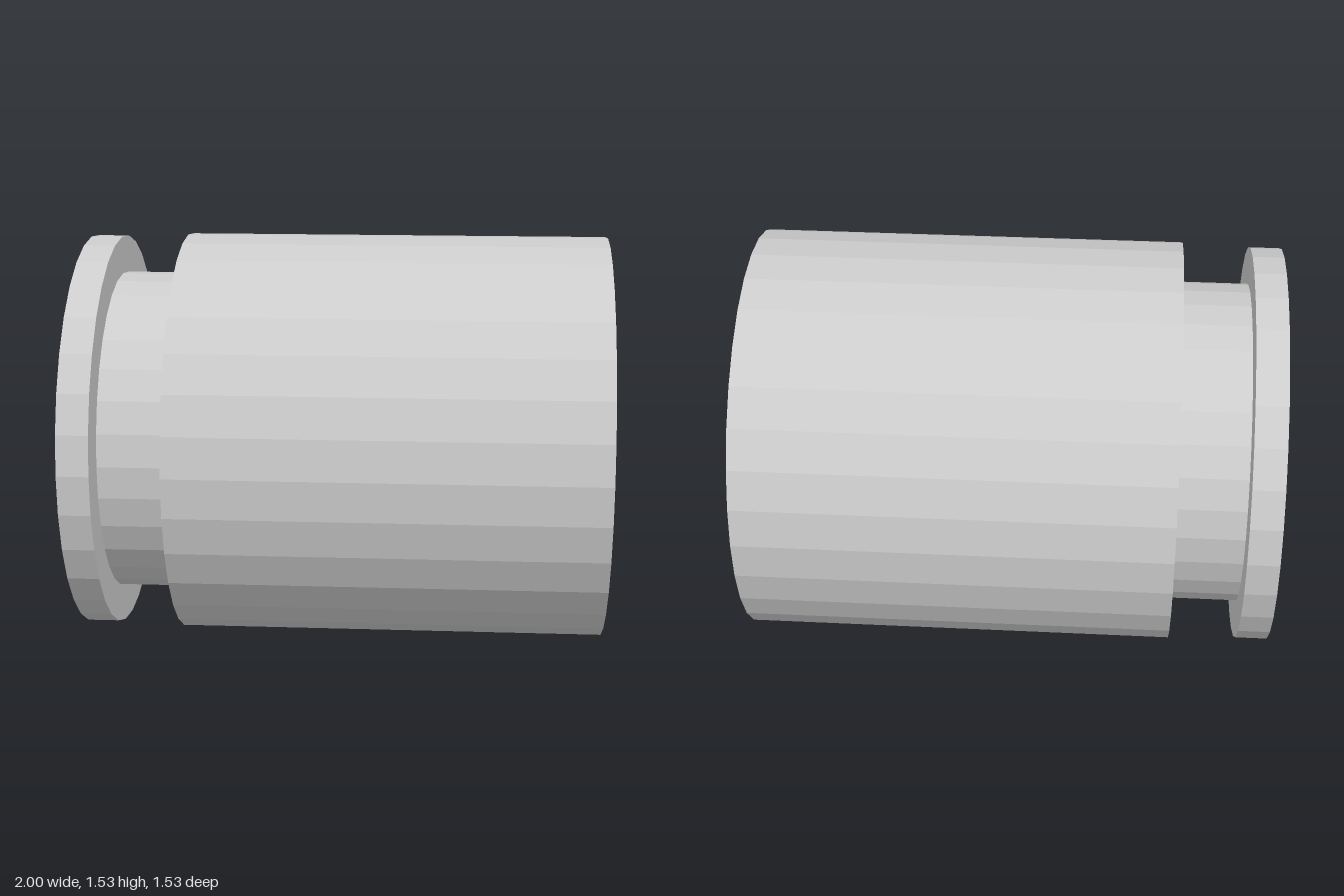
import * as THREE from 'three';

const AXIS_Y = 0.765; // height of the shared axis
const SIDES = 32;

export function createModel() {
  const group = new THREE.Group();
  const material = new THREE.MeshStandardMaterial({ color: 0xcccccc, flatShading: true });

  // Faceted disc lying along x, from x0 to x1
  function addDisc(name, radius, x0, x1) {
    const geometry = new THREE.CylinderGeometry(radius, radius, x1 - x0, SIDES);
    geometry.rotateZ(-Math.PI / 2);
    const mesh = new THREE.Mesh(geometry, material);
    mesh.name = name;
    mesh.position.set((x0 + x1) / 2, AXIS_Y, 0);
    group.add(mesh);
  }

  addDisc('body', 0.765, -0.594, 1);
  addDisc('neckGroove', 0.613, -0.85, -0.594);
  addDisc('rim', 0.754, -0.968, -0.85);
  // Stepped button in the middle of the rim
  addDisc('buttonBase', 0.4, -0.984, -0.968);
  addDisc('buttonCap', 0.338, -1, -0.984);

  return group;
}
